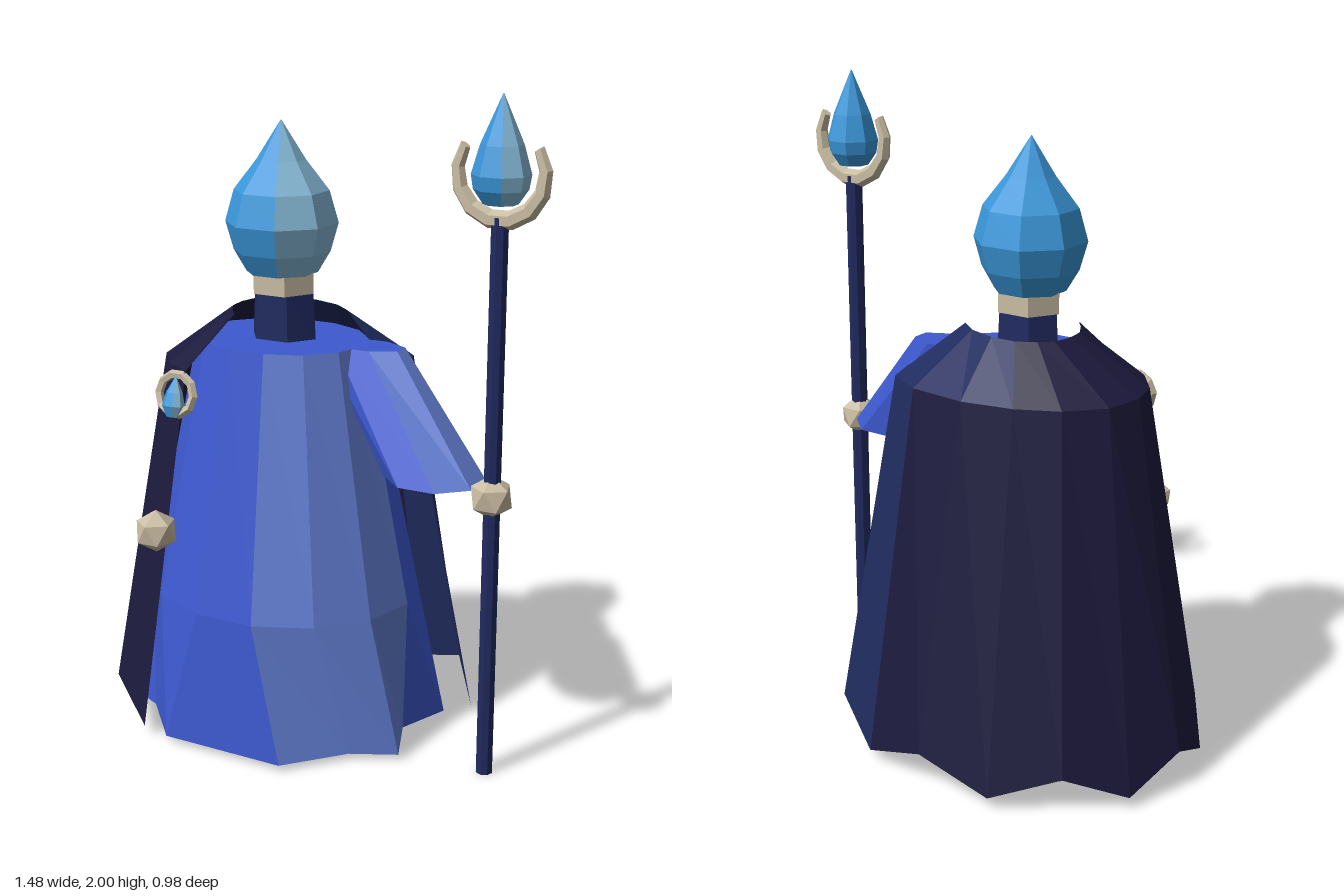
import * as THREE from 'three';

const mat = (name, color, side = THREE.FrontSide) =>
  Object.assign(new THREE.MeshStandardMaterial({ color, flatShading: true, side }), { name });

// Ring of [x, y, z] points, running from the front (+z) towards +x.
function ring(cx, y, cz, rx, rz, n, offset = 0.5) {
  return Array.from({ length: n }, (_, i) => {
    const a = ((i + offset) / n) * Math.PI * 2;
    return [cx + Math.sin(a) * rx, y, cz + Math.cos(a) * rz];
  });
}

// Faceted skin through rings listed from bottom to top.
// tint(facet, band) picks the material index of each facet.
function loft(rings, closed = true, tint = () => 0) {
  const pos = [];
  const g = new THREE.BufferGeometry();
  const tri = (a, b, c) => pos.push(...a, ...b, ...c);
  const n = rings[0].length;
  for (let r = 0; r < rings.length - 1; r++) {
    const lo = rings[r], up = rings[r + 1];
    for (let i = 0; i < (closed ? n : n - 1); i++) {
      const j = (i + 1) % n;
      g.addGroup(pos.length / 3, 6, tint(i, r));
      tri(lo[i], lo[j], up[i]);
      tri(lo[j], up[j], up[i]);
    }
  }
  if (closed) {
    g.addGroup(pos.length / 3, n * 6, 0);
    const cap = (pts, flip) => {
      const c = [0, 1, 2].map(k => pts.reduce((s, p) => s + p[k], 0) / n);
      pts.forEach((p, i) => {
        const q = pts[(i + 1) % n];
        if (flip) tri(c, q, p); else tri(c, p, q);
      });
    };
    cap(rings[0], true);
    cap(rings[rings.length - 1], false);
  }
  g.setAttribute('position', new THREE.Float32BufferAttribute(pos, 3));
  g.computeVertexNormals();
  return g;
}

// The first facets, facing front left, take the second material.
const paleFacets = count => i => (i < count ? 1 : 0);

// Eight-sided turned shape from [half width, height] pairs.
const turned = (profile, cx, cz) =>
  loft(profile.map(([r, y]) => ring(cx, y, cz, r / 0.924, r / 0.924, 8)), true, paleFacets(2));

export function createModel() {
  const model = new THREE.Group();
  const robeBlue = mat('robe blue', 0x3d59d0, THREE.DoubleSide);
  const robePale = mat('pale robe blue', 0x637ed3, THREE.DoubleSide);
  const navy = mat('navy', 0x202a60);
  const navyCloth = mat('navy cloth', 0x202b5e, THREE.DoubleSide);
  const darkCloth = mat('dark cloth', 0x1c1a3d, THREE.DoubleSide);
  const crystal = mat('crystal blue', 0x3a98db);
  const crystalPale = mat('pale crystal', 0x86bad8);
  const bone = mat('bone', 0xcabda3);
  const robeColours = [robeBlue, robePale];
  const crystalColours = [crystal, crystalPale];

  const add = (name, geometry, material, x = 0, y = 0, z = 0) => {
    const m = new THREE.Mesh(geometry, material);
    m.name = name;
    m.position.set(x, y, z);
    model.add(m);
  };
  const CX = -0.15, CZ = 0.04;

  // Robe with a wavy hem, mirrored from one quarter
  const quarter = [[0.2, 0.395], [0.35, 0.23], [0.485, 0.165]];
  const hem = [
    ...quarter, [0.42, 0],
    ...quarter.map(([x, z]) => [x, -z]).reverse(),
    ...quarter.map(([x, z]) => [-x, -z]), [-0.42, 0],
    ...quarter.map(([x, z]) => [-x, z]).reverse(),
  ].map(([x, z]) => [CX + x, 0.02, CZ + z]);
  add('robe', loft([
    hem,
    ring(CX, 0.44, CZ, 0.43, 0.38, 14),
    ring(CX, 1.23, CZ, 0.27, 0.225, 14),
  ], true, paleFacets(3)), robeColours);

  // Sleeve reaching out to the staff
  add('sleeve', loft([
    ring(0.395, 0.885, 0.11, 0.15, 0.14, 8),
    ring(0.11, 1.23, 0.02, 0.14, 0.07, 8),
  ], true, paleFacets(2)), robeColours);

  // Cape: points run from its left edge round the back to its front right edge
  const capeHem = [[0.41, -0.17], [0.295, -0.33], [0.105, -0.44], [-0.12, -0.49],
    [-0.345, -0.46], [-0.545, -0.37], [-0.685, -0.22], [-0.745, -0.035],
    [-0.72, 0.15], [-0.61, 0.315], [-0.43, 0.435]]
    .map(([x, z], i) => [x, i % 2 ? 0.12 : 0.035, z]);
  const capeShoulder = [[0.215, -0.08], [0.185, -0.18], [0.065, -0.25], [-0.12, -0.27],
    [-0.28, -0.24], [-0.405, -0.18], [-0.5, -0.08], [-0.525, 0.045],
    [-0.5, 0.15], [-0.425, 0.25], [-0.33, 0.305]]
    .map(([x, z]) => [x, 1.16, z]);
  const capeNeck = [[0.1, -0.03], [0.03, -0.035], [-0.03, -0.085], [-0.12, -0.115],
    [-0.2, -0.115], [-0.26, -0.085], [-0.295, -0.05], [-0.31, 0.01],
    [-0.305, 0.07], [-0.275, 0.125], [-0.24, 0.17]]
    .map(([x, z], i) => [x, i === 0 ? 1.24 : 1.315, z]);
  add('cape', loft([capeHem, capeShoulder, capeNeck], false,
    (i, band) => (i < (band ? 4 : 2) ? 0 : 1)), [navyCloth, darkCloth]);

  // Neck, collar and crystal head
  add('neck', loft([
    ring(CX, 1.2, CZ - 0.01, 0.11, 0.09, 6),
    ring(CX, 1.38, CZ - 0.01, 0.1, 0.085, 6),
  ]), navy);
  add('collar', loft([
    ring(CX, 1.37, CZ - 0.005, 0.104, 0.097, 6),
    ring(CX, 1.435, CZ - 0.005, 0.104, 0.097, 6),
  ]), bone);
  add('head', turned([[0.1, 1.43], [0.135, 1.495], [0.157, 1.58], [0.132, 1.675],
    [0.068, 1.765], [0.001, 1.88]], CX, CZ), crystalColours);

  // Staff with crescent and crystal
  const SX = 0.588, SZ = 0.14;
  add('staffPole', new THREE.CylinderGeometry(0.026, 0.026, 1.67, 8), navy, SX, 0.835, SZ);
  const arc = THREE.MathUtils.degToRad(248);
  add('staffCrescent', loft(
    // Tapered sweep, thickest at the bottom
    Array.from({ length: 10 }, (_, k) => {
      const t = k / 9, a = -Math.PI / 2 + (0.5 - t) * arc;
      const tube = 0.016 + 0.011 * Math.sin(Math.PI * t);
      return Array.from({ length: 6 }, (_, i) => {
        const b = (i / 6) * Math.PI * 2, r = 0.128 + Math.cos(b) * tube;
        return [Math.cos(a) * r, Math.sin(a) * r, Math.sin(b) * tube];
      });
    })), bone, SX, 1.787, SZ);
  add('staffCrystal', turned([[0.045, 1.705], [0.07, 1.745], [0.076, 1.785], [0.055, 1.865],
    [0.001, 2]], SX, SZ), crystalColours);

  // Hands, each with a corner pointing up
  const hand = new THREE.IcosahedronGeometry(0.066, 0).rotateX(-Math.atan((1 + Math.sqrt(5)) / 2));
  add('leftHand', hand, bone, 0.586, 0.868, SZ);
  add('rightHand', hand, bone, -0.365, 0.693, 0.433);

  // Cape clasp, leaning back with the cloth
  const clasp = new THREE.Group();
  clasp.name = 'clasp';
  clasp.position.set(-0.36, 1.087, 0.313);
  clasp.rotation.x = -0.2;
  const claspRing = new THREE.Mesh(new THREE.TorusGeometry(0.061, 0.014, 5, 10), bone);
  claspRing.name = 'claspRing';
  const claspCrystal = new THREE.Mesh(turned([[0.018, -0.058], [0.033, -0.025],
    [0.024, 0.015], [0.001, 0.065]], 0, 0), crystalColours);
  claspCrystal.name = 'claspCrystal';
  claspCrystal.position.set(0, -0.01, 0.01);
  claspCrystal.scale.z = 0.85;
  clasp.add(claspRing, claspCrystal);
  model.add(clasp);

  return model;
}
